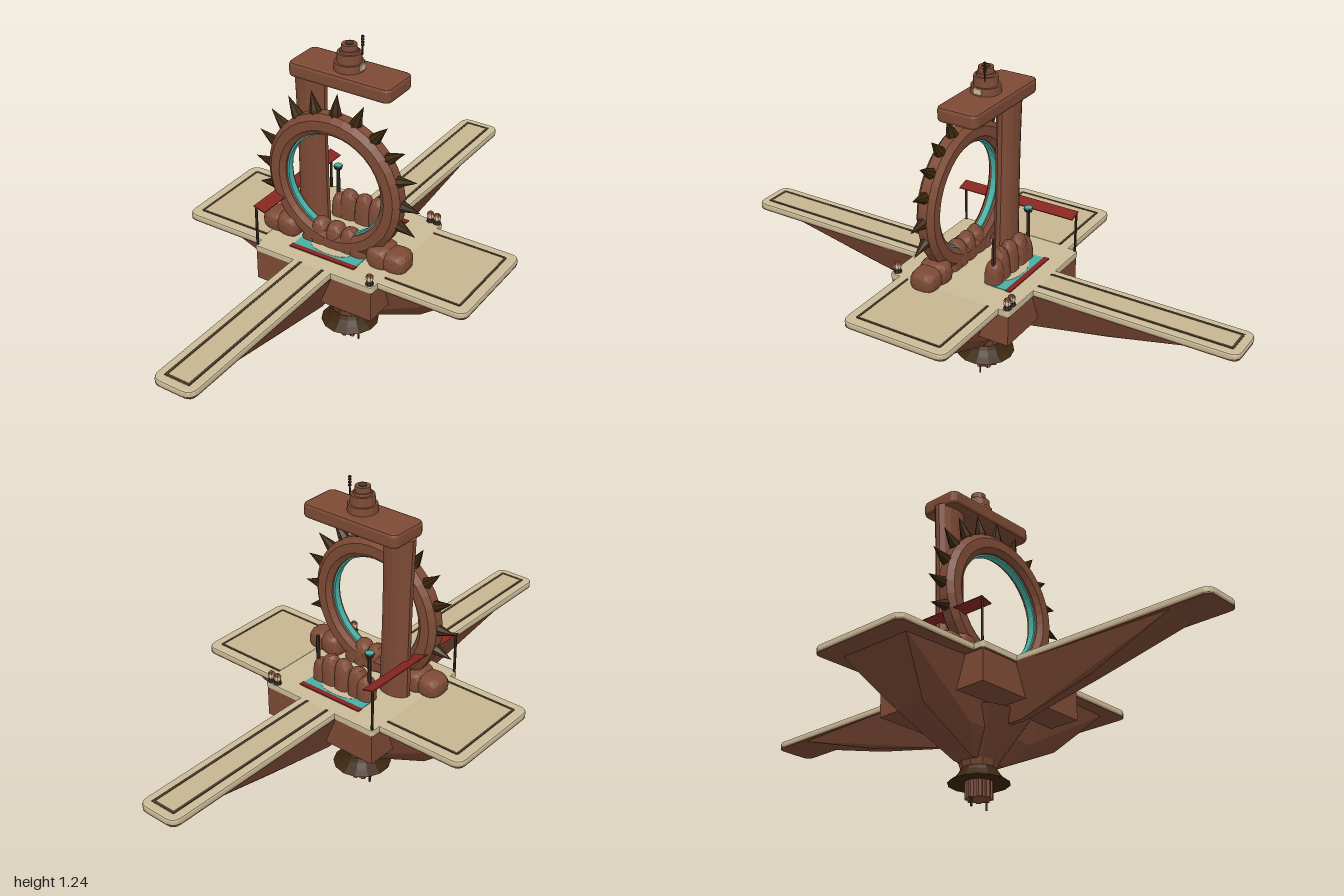
import * as THREE from 'three';
import { ConvexGeometry } from 'three/addons/geometries/ConvexGeometry.js';

const mat = (name, color, side = THREE.FrontSide) => {
  const m = new THREE.MeshStandardMaterial({ color, flatShading: true, side });
  m.name = name;
  return m;
};

export function createModel() {
  const model = new THREE.Group();
  const M = {
    rust: mat('rust brown', 0x7d4a35), deck: mat('deck tan', 0xcbbc99), panel: mat('panel tan', 0xc7b590),
    dark: mat('dark groove', 0x4a3a2a), horn: mat('horn', 0x3c260d, THREE.DoubleSide), red: mat('red', 0x882521),
    teal: mat('teal', 0x47b0a6), iron: mat('iron', 0x3d2a20),
  };
  const add = (name, geo, m, x = 0, y = 0, z = 0) => {
    const mesh = new THREE.Mesh(geo, m);
    mesh.name = name;
    mesh.position.set(x, y, z);
    model.add(mesh);
    return mesh;
  };
  const box = (name, w, h, d, m, x, y, z) => add(name, new THREE.BoxGeometry(w, h, d), m, x, y, z);
  const cyl = (name, rt, rb, h, m, x, y, z, n = 8) => add(name, new THREE.CylinderGeometry(rt, rb, h, n), m, x, y, z);
  const lathe = (pts, n) => new THREE.LatheGeometry(pts.map(p => new THREE.Vector2(...p)), n);

  // Rounded slab lying flat, bevelled, full size w x h x d
  const slab = (w, h, d, r, b) => {
    const s = new THREE.Shape(), a = w / 2 - b, c = d / 2 - b;
    s.moveTo(-a + r, -c);
    s.lineTo(a - r, -c); s.quadraticCurveTo(a, -c, a, -c + r);
    s.lineTo(a, c - r); s.quadraticCurveTo(a, c, a - r, c);
    s.lineTo(-a + r, c); s.quadraticCurveTo(-a, c, -a, c - r);
    s.lineTo(-a, -c + r); s.quadraticCurveTo(-a, -c, -a + r, -c);
    const g = new THREE.ExtrudeGeometry(s, { depth: h - 2 * b, bevelSize: b, bevelThickness: b, bevelSegments: 2, curveSegments: 4 });
    g.rotateX(-Math.PI / 2);
    g.translate(0, b, 0);
    return g;
  };

  // Cross-shaped deck, tan above and brown below
  for (const [name, w, d, r, b] of [['sideDeck', 1.16, 0.41, 0.03, 0.007], ['longDeck', 0.16, 2, 0.03, 0.007], ['centreDeck', 0.49, 0.49, 0.01, 0.004]]) {
    add(name, slab(w, 0.025, d, r, b), M.deck, 0, 0.435, 0);
    add(name + 'Underside', slab(w - 0.004, 0.006, d - 0.004, r, 0.001), M.rust, 0, 0.4325, 0);
  }

  // Inset panels with dark outlines on each arm
  const strip = (w, d, x, z) => box('deckGroove', w, 0.004, d, M.dark, x, 0.461, z);
  for (const s of [-1, 1]) {
    box('sidePanel', 0.29, 0.002, 0.33, M.panel, s * 0.395, 0.4605, 0);
    strip(0.008, 0.33, s * 0.54, 0);
    box('longPanel', 0.09, 0.002, 0.72, M.panel, 0, 0.4605, s * 0.61);
    strip(0.098, 0.009, 0, s * 0.965);
    for (const t of [-1, 1]) {
      strip(0.29, 0.008, s * 0.395, t * 0.165);
      strip(0.009, 0.72, t * 0.045, s * 0.605);
    }
  }

  // Painted marks on the centre deck
  for (const s of [-1, 1]) {
    box('tealMark', 0.265, 0.003, 0.06, M.teal, 0, 0.461, s * 0.135);
    cyl('tanMark', 0.08, 0.08, 0.004, M.deck, 0, 0.4615, s * 0.125, 16).scale.z = 0.4;
    box('redStripe', 0.27, 0.005, 0.02, M.red, 0, 0.462, s * 0.175);
  }

  // Faceted hull: side wings, long keel, square core and bowl
  const hull = (list) => {
    const pts = [];
    for (const [x, y, z] of list) for (const a of [-1, 1]) for (const b of [-1, 1]) pts.push(new THREE.Vector3(a * x, y, b * z));
    return new ConvexGeometry(pts);
  };
  add('sideHull', hull([[0.5, 0.437, 0.15], [0.2, 0.437, 0.165], [0.33, 0.27, 0.06], [0.15, 0.24, 0.1], [0.08, 0.155, 0.04]]), M.rust);
  add('longHull', hull([[0.065, 0.437, 0.86], [0.08, 0.437, 0.3], [0.025, 0.332, 0.51], [0.01, 0.262, 0.2]]), M.rust);
  box('coreHull', 0.48, 0.125, 0.48, M.rust, 0, 0.381, 0);
  cyl('hullBowl', 0.18, 0.068, 0.155, M.rust, 0, 0.2325, 0, 10);

  // Bottom neck, horn skirt and thruster
  cyl('neck', 0.07, 0.06, 0.03, M.rust, 0, 0.142, 0, 10);
  add('skirt', lathe([[0.05, 0.088], [0.108, 0.085], [0.085, 0.1], [0.07, 0.12], [0.062, 0.135], [0.04, 0.135]], 14), M.horn);
  cyl('thruster', 0.04, 0.04, 0.07, M.rust, 0, 0.065, 0, 10);
  for (let i = 0; i < 8; i++) {
    const a = i * Math.PI / 4;
    cyl('thrusterPipe', 0.011, 0.011, 0.07, M.rust, Math.cos(a) * 0.038, 0.065, Math.sin(a) * 0.038, 6);
  }
  for (const s of [-1, 1]) cyl('prong', 0.004, 0.004, 0.06, M.iron, s * 0.037, 0.03, 0, 6);

  // Upright ring with a narrow teal band inside
  const cx = -0.003, cy = 0.713, cz = 0.085;
  const section = [[0.196, -0.022], [0.215, -0.036], [0.25, -0.036], [0.27, -0.018], [0.27, 0.018], [0.25, 0.036], [0.215, 0.036], [0.196, 0.022], [0.196, -0.022]];
  add('ring', lathe(section, 36).rotateX(Math.PI / 2), M.rust, cx, cy, cz);
  const band = [[0.197, 0.013], [0.19, 0.012], [0.19, -0.012], [0.197, -0.013]];
  add('ringBand', lathe(band, 36).rotateX(Math.PI / 2), M.teal, cx, cy, cz);

  // Spikes, bulging in the middle and bent slightly clockwise at the tip
  for (const deg of [-107, -90, -71, -53, -36, -18, 0, 18, 36, 53, 71, 90, 107]) {
    const g = new THREE.ConeGeometry(0.025, 0.105, 7, 3);
    const p = g.attributes.position;
    for (let i = 0; i < p.count; i++) {
      const t = (p.getY(i) + 0.0525) / 0.105, bulge = 1 + 1.1 * t * (1 - t);
      p.setX(i, p.getX(i) * bulge + 0.008 * t * t);
      p.setZ(i, p.getZ(i) * bulge);
    }
    const a = deg * Math.PI / 180;
    add('spike', g, M.horn, cx + Math.sin(a) * 0.286, cy + Math.cos(a) * 0.296, cz).rotation.z = -a;
  }

  // Ridged trunk pillar, slightly flared at both ends
  const trunk = new THREE.CylinderGeometry(0.064, 0.064, 0.62, 14, 6);
  const tp = trunk.attributes.position;
  for (let i = 0; i < tp.count; i++) {
    const x = tp.getX(i), y = tp.getY(i), z = tp.getZ(i);
    const a = Math.atan2(z, x), t = y / 0.31;
    const f = 0.93 + 0.06 * Math.cos(7 * a) + 0.07 * t * t;
    tp.setXYZ(i, x * f - 0.006 * t, y, z * f * 0.62);
  }
  add('pillar', trunk, M.rust, -0.153, 0.765, 0.002);

  // Roof slab with tiered finial and antenna
  add('roof', slab(0.405, 0.055, 0.16, 0.015, 0.012), M.rust, -0.006, 1.064, -0.006);
  for (const [r, y, h] of [[0.054, 1.132, 0.028], [0.044, 1.163, 0.034], [0.034, 1.182, 0.014], [0.028, 1.197, 0.024]])
    cyl('finialTier', r * 0.96, r, h, M.rust, -0.003, y, 0, 14);
  cyl('finialCap', 0.015, 0.015, 0.004, M.dark, -0.003, 1.21, 0, 10);
  box('finialPlate', 0.006, 0.02, 0.03, M.deck, 0.05, 1.135, 0);
  cyl('antenna', 0.003, 0.003, 0.07, M.iron, 0.036, 1.205, -0.02, 6);
  for (let i = 0; i < 4; i++) cyl('antennaBead', 0.006, 0.006, 0.005, M.iron, 0.036, 1.205 + i * 0.01, -0.02, 6);

  // Blocky rounded boulders behind, around and beside the ring foot
  const rock = (x, y, z, sx, sy, sz, k) => {
    const g = new THREE.IcosahedronGeometry(1, 2), p = g.attributes.position;
    const puff = v => Math.sign(v) * Math.abs(v) ** 0.72;
    for (let i = 0; i < p.count; i++) {
      const a = p.getX(i), b = p.getY(i), c = p.getZ(i);
      const f = 0.94 + 0.05 * Math.sin(3 * a + k) * Math.cos(2 * c + 2 * b + k);
      p.setXYZ(i, puff(a) * f * sx, puff(b) * f * sy, puff(c) * f * sz);
    }
    add('boulder', g, M.rust, x, y, z);
  };
  [-0.1, -0.063, 0, 0.058, 0.098].forEach((x, i) => {
    const h = [0.085, 0.115, 0.118, 0.115, 0.085][i];
    rock(x, 0.47, -0.098, 0.037, h, 0.034, i);
    rock(x, 0.465, 0.085, 0.037, h * 0.85, 0.04, i + 2);
  });
  for (const s of [-1, 1]) {
    rock(s * 0.25, 0.488, 0.085, 0.054, 0.046, 0.055, s);
    rock(s * 0.19, 0.492, 0.085, 0.05, 0.052, 0.062, s + 3);
  }

  // Thin red awning, its outer edge raised, on thin posts
  box('awning', 0.048, 0.004, 0.48, M.red, -0.222, 0.613, 0).rotation.z = -0.28;
  for (const s of [-1, 1]) cyl('awningPost', 0.005, 0.005, 0.155, M.iron, -0.238, 0.5375, s * 0.235, 6);

  // Posts behind the ring, one with a teal-topped lamp
  for (const [x, h] of [[0.115, 0.175], [-0.12, 0.185]]) cyl('post', 0.007, 0.008, h, M.iron, x, 0.46 + h / 2, -0.105, 6);
  cyl('lampHead', 0.018, 0.014, 0.012, M.iron, -0.12, 0.647, -0.105, 8);
  cyl('lampTop', 0.016, 0.016, 0.004, M.teal, -0.12, 0.655, -0.105, 8);

  // Small lanterns on the deck corners
  for (const [x, z] of [[0.225, 0.225], [0.2, -0.23], [0.228, -0.23]]) {
    cyl('lanternBase', 0.012, 0.015, 0.014, M.iron, x, 0.466, z, 8);
    add('lantern', new THREE.SphereGeometry(0.014, 8, 6), M.deck, x, 0.483, z);
    cyl('lanternCap', 0.008, 0.014, 0.008, M.rust, x, 0.496, z, 8);
  }
  return model;
}
